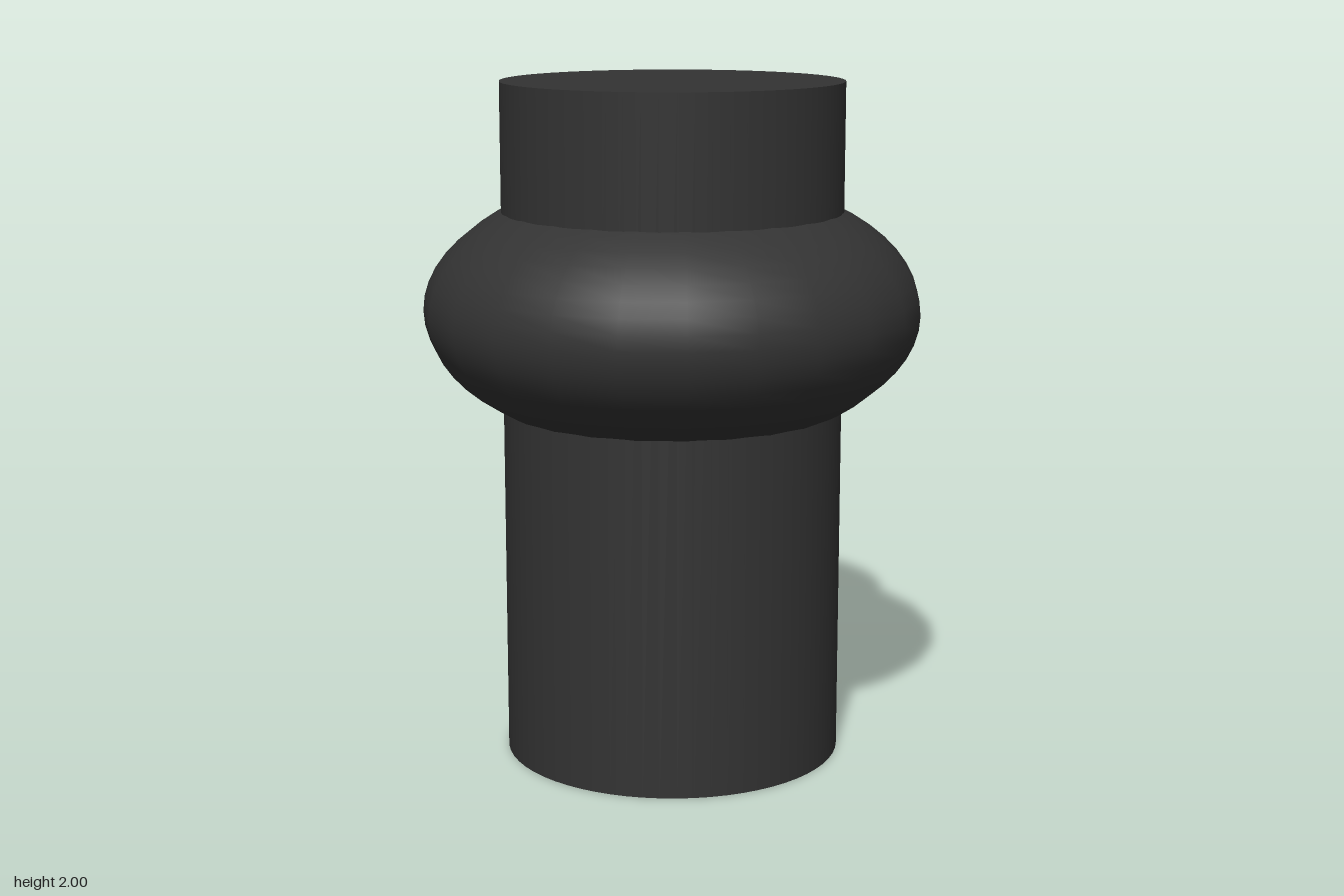
import * as THREE from 'three';

export function createModel() {
  const group = new THREE.Group();
  const material = new THREE.MeshStandardMaterial({ color: 0x333333 });

  // Straight round shaft, capped at both ends
  const shaft = new THREE.Mesh(new THREE.CylinderGeometry(0.5, 0.5, 2, 64), material);
  shaft.name = 'shaft';
  shaft.position.y = 1;
  group.add(shaft);

  // Bulging collar: the band of a flattened sphere, its rims sunk into the shaft
  const rim = 0.7;
  const collar = new THREE.Mesh(
    new THREE.SphereGeometry(1, 24, 16, 0, Math.PI * 2, rim, Math.PI - 2 * rim),
    material
  );
  collar.name = 'collar';
  collar.scale.set(0.73, 0.4, 0.73);
  collar.position.y = 1.335;
  group.add(collar);

  return group;
}
